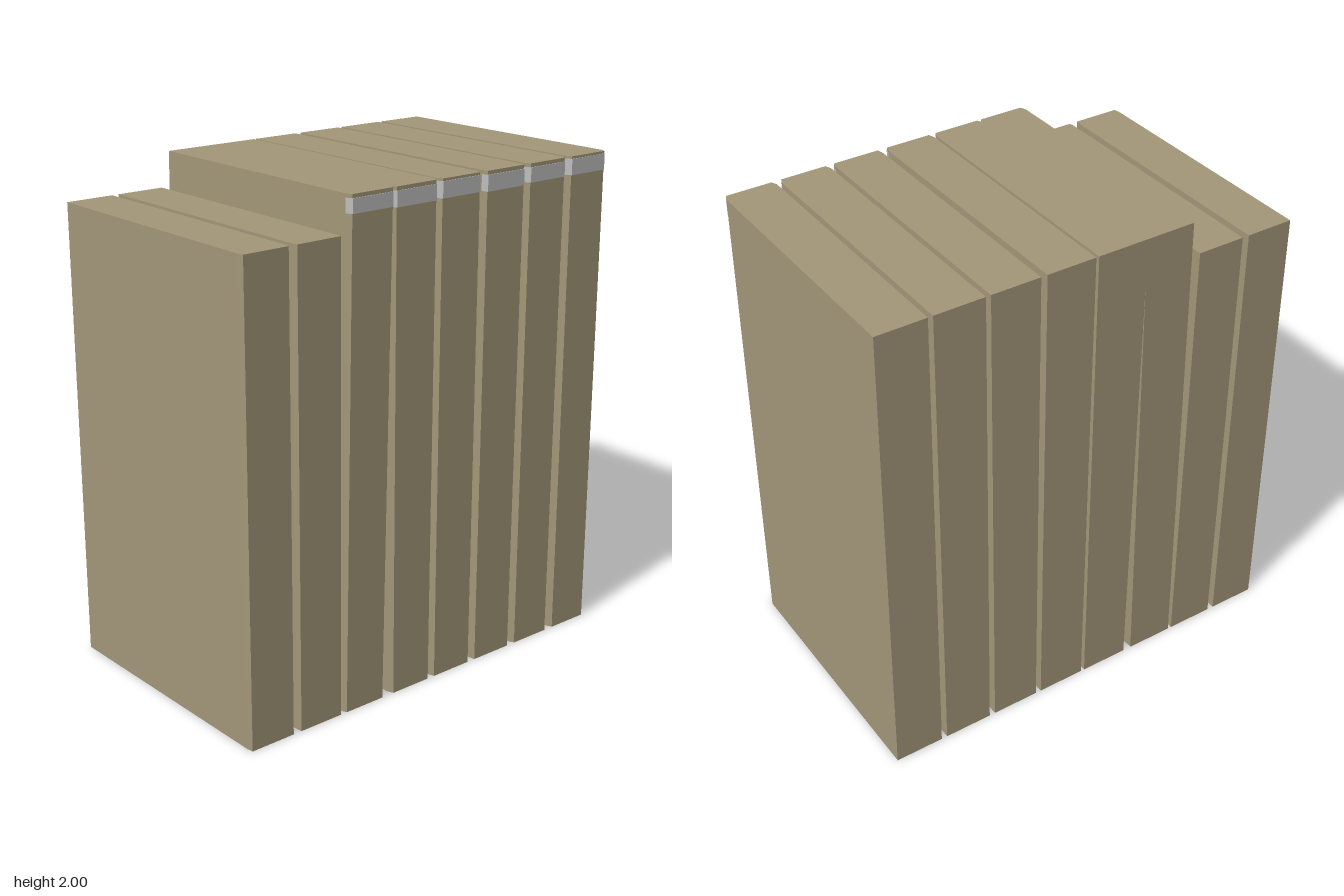
import * as THREE from 'three';

const H_BACK = -0.55, Z_FRONT = 0.546, CHAMFER_Z = 0.025;

// A block with bevelled front corners whose left and right faces may lean.
// b and t hold the x range at the bottom and at the full height.
function slab(b, t, y0, y1, fullH, z0, z1, cx, cz) {
  const s = new THREE.Shape();
  s.moveTo(0, -z1 + cz);
  s.lineTo(cx, -z1);
  s.lineTo(1 - cx, -z1);
  s.lineTo(1, -z1 + cz);
  s.lineTo(1, -z0);
  s.lineTo(0, -z0);
  s.closePath();
  const g = new THREE.ExtrudeGeometry(s, { depth: y1 - y0, bevelEnabled: false });
  g.rotateX(-Math.PI / 2).translate(0, y0, 0);
  const p = g.attributes.position;
  for (let i = 0; i < p.count; i++) {
    const k = p.getY(i) / fullH;
    const l = THREE.MathUtils.lerp(b[0], t[0], k);
    const r = THREE.MathUtils.lerp(b[1], t[1], k);
    p.setX(i, l + (r - l) * p.getX(i));
  }
  g.computeVertexNormals();
  return g;
}

export function createModel() {
  const cover = new THREE.MeshStandardMaterial({ color: 0xa39779 });
  cover.name = 'tan cover';
  const label = new THREE.MeshStandardMaterial({ color: 0xbebebe });
  label.name = 'grey band';

  // bottom x range, top x range, height, corner bevel (fraction of width), band
  const books = [
    { b: [-0.893, -0.693], t: [-0.893, -0.693], h: 1.86, c: 0.02 },
    { b: [-0.664, -0.464], t: [-0.664, -0.464], h: 1.86, c: 0.02 },
    { b: [-0.448, -0.248], t: [-0.425, -0.217], h: 2, c: 0.05, band: [1.93, 1.985] },
    { b: [-0.211, -0.008], t: [-0.221, -0.008], h: 2, c: 0.05, band: [1.925, 1.985] },
    { b: [0.008, 0.21], t: [0.004, 0.208], h: 2, c: 0.04, band: [1.927, 1.99] },
    { b: [0.234, 0.434], t: [0.234, 0.437], h: 2, c: 0.03, band: [1.922, 1.985] },
    { b: [0.459, 0.661], t: [0.457, 0.663], h: 2, c: 0.05, band: [1.927, 1.985] },
    { b: [0.686, 0.889], t: [0.683, 0.889], h: 2, c: 0.05, band: [1.927, 1.99] },
  ];

  const model = new THREE.Group();
  model.name = 'bookRow';
  books.forEach(({ b, t, h, c, band }, i) => {
    const book = new THREE.Group();
    book.name = `book${i + 1}`;
    const body = new THREE.Mesh(slab(b, t, 0, h, h, H_BACK, Z_FRONT, c, CHAMFER_Z), cover);
    body.name = 'cover';
    book.add(body);
    // thin band wrapped around the front of the spine
    if (band) {
      const g = slab(b, t, band[0], band[1], h, Z_FRONT - CHAMFER_Z, Z_FRONT + 0.003, c, CHAMFER_Z);
      const mesh = new THREE.Mesh(g, label);
      mesh.name = 'spineBand';
      book.add(mesh);
    }
    model.add(book);
  });
  return model;
}
